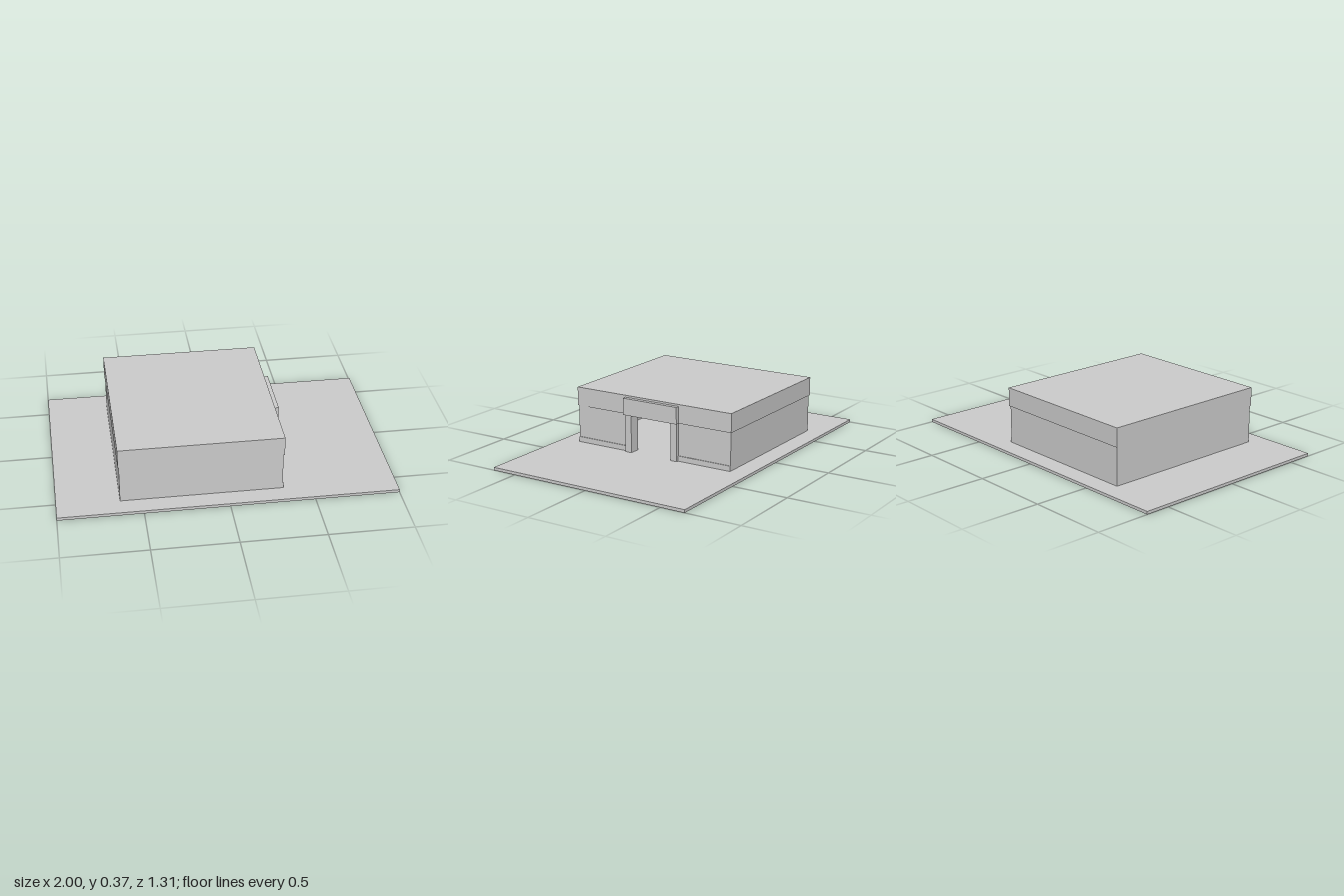
import * as THREE from 'three';

export function createModel() {
  const model = new THREE.Group();
  const material = new THREE.MeshStandardMaterial({ color: 0xcccccc, flatShading: true });

  // Adds a box given by its lower and upper corners
  function block(name, [x0, y0, z0], [x1, y1, z1]) {
    const mesh = new THREE.Mesh(new THREE.BoxGeometry(x1 - x0, y1 - y0, z1 - z0), material);
    mesh.position.set((x0 + x1) / 2, (y0 + y1) / 2, (z0 + z1) / 2);
    mesh.name = name;
    model.add(mesh);
  }

  const floor = 0.018, head = 0.25, top = 0.365;
  const west = -0.63, east = 0.325, north = -0.537, south = 0.538;
  const t = 0.04;

  // Ground slab
  block('groundSlab', [-1, 0, -0.655], [1, floor, 0.655]);

  // Deep roof block, slightly wider than the walls
  block('roof', [-0.635, head, -0.543], [0.332, top, 0.542]);

  // Walls around the hollow room
  block('rearWall', [west, floor, north], [west + t, head, south]);
  block('sideWallBack', [west + t, floor, north], [east, head, north + t]);
  block('sideWallFront', [west + t, floor, south - t], [east, head, south]);

  // Entrance wall halves, low plinths and door jambs
  for (const s of [-1, 1]) {
    const end = s < 0 ? north : south;
    const span = (a, b) => [Math.min(a, b), Math.max(a, b)];
    const [w0, w1] = span(s * 0.18, end - s * t);
    block('entranceWall', [east - t, floor, w0], [east, head, w1]);
    const [p0, p1] = span(s * 0.18, end);
    block('plinth', [east, floor, p0], [0.33, 0.05, p1]);
    const [j0, j1] = span(s * 0.14, s * 0.182);
    block('doorJamb', [0.275, floor, j0], [0.345, head, j1]);
  }

  // Fascia panel over the entrance
  block('entranceFascia', [0.33, head, -0.188], [0.358, 0.353, 0.188]);

  return model;
}
